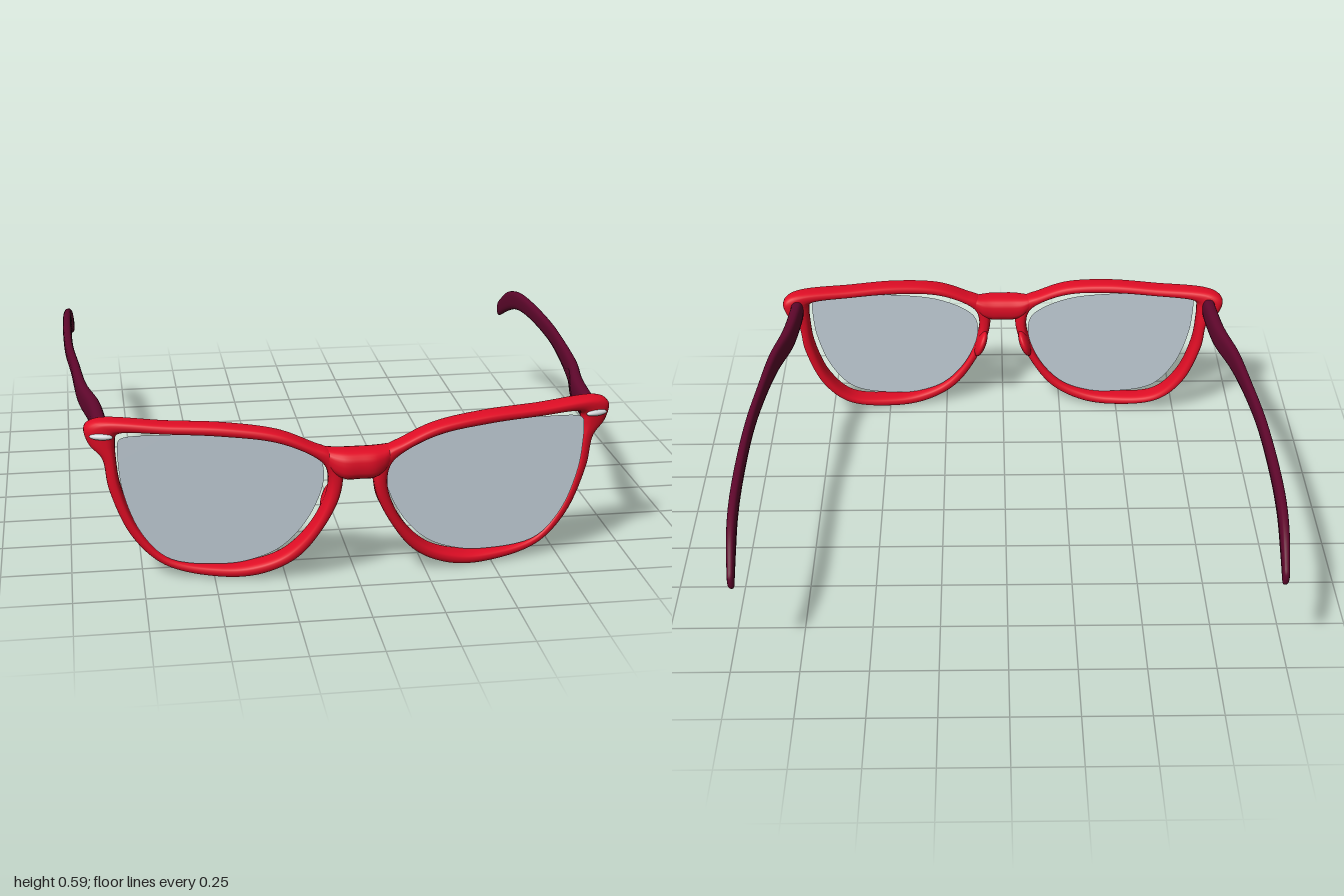
import * as THREE from 'three';

function material(name, color, side = THREE.FrontSide) {
  const mat = new THREE.MeshStandardMaterial({ color, side });
  mat.name = name;
  return mat;
}
const red = material('red frame', 0xe00d25);
const maroon = material('maroon temple', 0x5f072c);
const smoke = material('smoke lens', 0xc6d3dc, THREE.DoubleSide);
const silver = material('silver rivet', 0xd6dadd);

// Rim stations round one lens: inner x, y, then outer x, y
const RIM = [
  [0.65, 0.545, 0.65, 0.583], [0.47, 0.541, 0.45, 0.58], [0.286, 0.52, 0.27, 0.555],
  [0.163, 0.47, 0.155, 0.508], [0.118, 0.43, 0.09, 0.478], [0.104, 0.385, 0.056, 0.41],
  [0.11, 0.315, 0.063, 0.32], [0.168, 0.19, 0.117, 0.2], [0.26, 0.095, 0.207, 0.082],
  [0.366, 0.053, 0.33, 0.017], [0.473, 0.043, 0.473, 0.002], [0.66, 0.075, 0.675, 0.045],
  [0.757, 0.18, 0.785, 0.15], [0.816, 0.34, 0.857, 0.325], [0.829, 0.45, 0.878, 0.445],
  [0.83, 0.5, 0.922, 0.497], [0.826, 0.53, 0.935, 0.555], [0.81, 0.542, 0.9, 0.583],
];

// Half bridge stations: x, bottom y, top y, z centre, half depth
const BRIDGE = [
  [0, 0.384, 0.489, 0.926, 0.062], [0.05, 0.385, 0.489, 0.925, 0.061], [0.085, 0.402, 0.489, 0.918, 0.054],
  [0.11, 0.432, 0.49, 0.912, 0.043], [0.135, 0.455, 0.492, 0.908, 0.03],
];

// Temple stations: x, bottom y, top y, z, half width
const TEMPLE = [
  [0.876, 0.47, 0.563, 0.76, 0.026], [0.879, 0.467, 0.566, 0.68, 0.026], [0.895, 0.467, 0.568, 0.5, 0.025],
  [0.932, 0.475, 0.568, 0.31, 0.021], [0.956, 0.499, 0.573, 0.05, 0.017], [0.976, 0.5, 0.567, -0.2, 0.017],
  [0.982, 0.49, 0.558, -0.55, 0.018], [0.979, 0.464, 0.543, -0.74, 0.018], [0.973, 0.42, 0.507, -0.87, 0.017],
  [0.966, 0.367, 0.436, -0.985, 0.013],
];

const AROUND = 24;

// Wrap and tilt of the front
const frontZ = (x, y) => 0.922 - 0.08 * Math.abs(x) - 0.11 * x * x + 0.06 * (y - 0.42);

// One cross-section: place(c, s) turns a rounded unit section into points
function ring(place) {
  const soften = (v) => Math.sign(v) * Math.pow(Math.abs(v), 0.75);
  return Array.from({ length: AROUND }, (_, j) => {
    const a = (j / AROUND) * Math.PI * 2;
    return place(soften(Math.cos(a)), soften(Math.sin(a)));
  });
}

// Skin over a row of cross-sections
function loft(rings, closed) {
  const n = AROUND, index = [];
  const last = closed ? rings.length : rings.length - 1;
  for (let i = 0; i < last; i++) {
    const r0 = i * n, r1 = ((i + 1) % rings.length) * n;
    for (let j = 0; j < n; j++) {
      const k = (j + 1) % n;
      index.push(r0 + j, r1 + j, r0 + k, r0 + k, r1 + j, r1 + k);
    }
  }
  const geo = new THREE.BufferGeometry();
  geo.setAttribute('position', new THREE.Float32BufferAttribute(rings.flat(2), 3));
  geo.setIndex(index);
  geo.computeVertexNormals();
  return geo;
}

const spline = (points, closed = false) =>
  new THREE.CatmullRomCurve3(points.map(([x, y, z = 0]) => new THREE.Vector3(x, y, z)), closed);

const innerEdge = spline(RIM.map(([x, y]) => [x, y]), true);
const outerEdge = spline(RIM.map(([, , x, y]) => [x, y]), true);

function rimGeometry(side) {
  const steps = 180;
  const rings = Array.from({ length: steps }, (_, i) => {
    const a = innerEdge.getPoint(i / steps), b = outerEdge.getPoint(i / steps);
    const mid = a.clone().add(b).multiplyScalar(0.5), half = b.sub(a).multiplyScalar(0.5);
    return ring((c, s) => {
      const x = mid.x + half.x * c, y = mid.y + half.y * c;
      return [side * x, y, frontZ(x, y) + side * s * 0.043];
    });
  });
  return loft(rings, true);
}

function bridgeGeometry() {
  const stations = [...BRIDGE.slice(1).reverse().map(([x, ...rest]) => [-x, ...rest]), ...BRIDGE];
  const centre = spline(stations.map(([x, a, b, z]) => [x, (a + b) / 2, z]));
  const size = spline(stations.map(([x, a, b, , d]) => [x, (b - a) / 2, d]));
  const steps = 40;
  const rings = Array.from({ length: steps + 1 }, (_, i) => {
    const p = centre.getPoint(i / steps), h = size.getPoint(i / steps);
    return ring((c, s) => [p.x, p.y + h.y * s, p.z + h.z * c]);
  });
  return loft(rings, false);
}

function templeGeometry(side) {
  const centre = spline(TEMPLE.map(([x, a, b, z]) => [x, (a + b) / 2, z]));
  const size = spline(TEMPLE.map(([, a, b, z, w]) => [w, (b - a) / 2, z]));
  const section = (t, scale, dz) => {
    const p = centre.getPoint(t), h = size.getPoint(t);
    return ring((c, s) => [side * p.x + h.x * c * scale, p.y + h.y * s * scale, p.z + dz]);
  };
  const steps = 60;
  const rings = Array.from({ length: steps + 1 }, (_, i) => section(i / steps, 1, 0));
  // Rounded tip
  rings.push(section(1, 0.8, -0.008), section(1, 0.4, -0.012), section(1, 0.001, -0.013));
  return loft(rings, false);
}

// Flat lens, a hair smaller than its opening
function lensGeometry(side) {
  const cx = 0.465, cy = 0.3, scale = 0.985;
  const outline = innerEdge.getPoints(120).slice(0, -1)
    .map((p) => new THREE.Vector2(side * (cx + (p.x - cx) * scale), cy + (p.y - cy) * scale));
  return new THREE.ShapeGeometry(new THREE.Shape(outline));
}

export function createModel() {
  const group = new THREE.Group();
  const add = (name, geo, mat) => {
    const mesh = new THREE.Mesh(geo, mat);
    mesh.name = name;
    group.add(mesh);
    return mesh;
  };

  add('bridge', bridgeGeometry(), red);

  for (const side of [1, -1]) {
    const label = side > 0 ? 'left' : 'right';
    add(label + 'Rim', rimGeometry(side), red);
    add(label + 'Lens', lensGeometry(side), smoke).position.z = 0.845;
    add(label + 'Temple', templeGeometry(side), maroon);

    // Nose pad behind the inner rim
    const pad = add(label + 'NosePad', new THREE.SphereGeometry(1, 20, 14), red);
    pad.scale.set(0.021, 0.06, 0.055);
    pad.rotation.z = side * 0.36;
    pad.position.set(side * 0.096, 0.285, 0.862);

    // Oval rivet on the end piece
    const rivet = add(label + 'Rivet', new THREE.SphereGeometry(1, 20, 12), silver);
    rivet.scale.set(0.042, 0.011, 0.014);
    rivet.rotation.y = side * 0.27;
    rivet.position.set(side * 0.877, 0.535, frontZ(0.877, 0.535) + 0.043);
  }
  return group;
}
